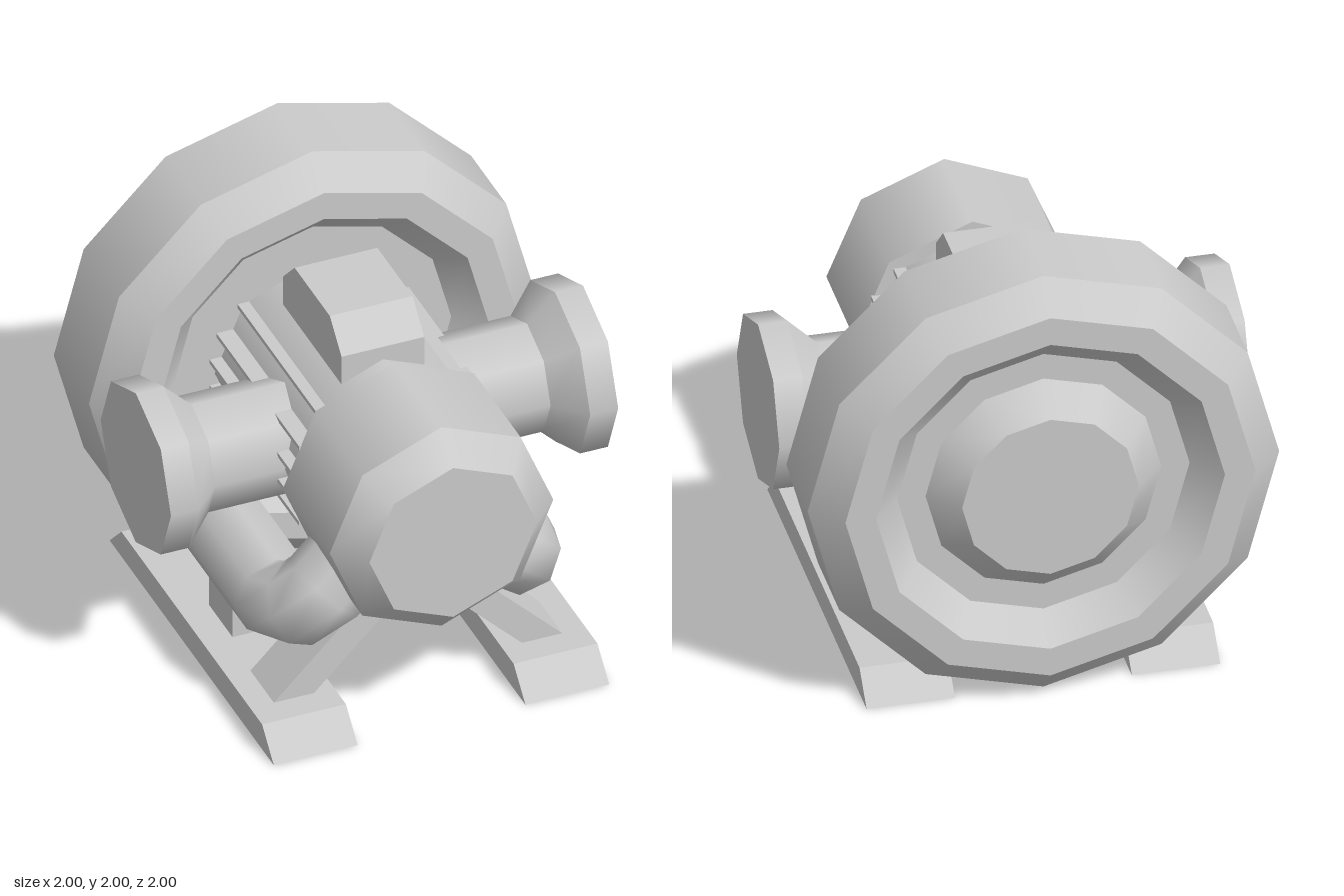
import * as THREE from 'three';
import { mergeGeometries } from 'three/addons/utils/BufferGeometryUtils.js';

const material = new THREE.MeshStandardMaterial({ color: 0xcccccc });

function add(parent, name, geometry, x = 0, y = 0, z = 0) {
  const mesh = new THREE.Mesh(geometry, material);
  mesh.name = name;
  mesh.position.set(x, y, z);
  parent.add(mesh);
  return mesh;
}

// Turned solid along z: smooth around the axis, sharp between profile steps.
function turned(profile, sides) {
  const bands = [];
  for (let i = 0; i < profile.length - 1; i++) {
    const pair = [profile[i], profile[i + 1]].map(([r, z]) => new THREE.Vector2(r, z));
    bands.push(new THREE.LatheGeometry(pair, sides));
  }
  return mergeGeometries(bands).rotateX(Math.PI / 2);
}

// Side outline given as [z, y] pairs, extruded across x and centred on x = 0.
function sidePlate(outline, width) {
  const shape = new THREE.Shape(outline.map(([z, y]) => new THREE.Vector2(-z, y)));
  return new THREE.ExtrudeGeometry(shape, { depth: width, bevelEnabled: false })
    .translate(0, 0, -width / 2)
    .rotateY(Math.PI / 2);
}

export function createModel() {
  const model = new THREE.Group();
  model.name = 'pump';

  // Large round casing with a dished face on both sides and a raised back hub
  add(model, 'casing', turned([
    [0, -1], [0.375, -1], [0.5, -0.875], [0.62, -0.875], [0.74, -1], [0.87, -1],
    [1, -0.875], [1, -0.5], [0.87, -0.375], [0.74, -0.375], [0.62, -0.5], [0, -0.5],
  ], 12), 0, 1);

  // Motor body and its front cap
  add(model, 'motorBody', turned([[0.4375, -0.55], [0.4375, 0.4]], 8), 0, 1);
  add(model, 'motorCap', turned([
    [0, 0.375], [0.5, 0.375], [0.5, 0.875], [0.375, 1], [0, 1],
  ], 8), 0, 1);

  // Thin horizontal cooling fins
  for (const [height, halfWidth] of [[0.31, 0.335], [0.19, 0.43], [0.065, 0.46]]) {
    for (const s of [-1, 1]) {
      add(model, 'coolingFin', new THREE.BoxGeometry(halfWidth * 2, 0.02, 0.9), 0, 1 + s * height, -0.07);
    }
  }

  // Box on top of the motor
  add(model, 'terminalBox', sidePlate([
    [0.25, 1.25], [0.25, 1.5], [0.125, 1.625], [-0.25, 1.625], [-0.375, 1.5], [-0.375, 1.25],
  ], 0.37));

  for (const side of [-1, 1]) {
    const label = side > 0 ? 'left' : 'right';

    // Side port with flared flange
    const port = add(model, label + 'Port', turned([
      [0.25, 0.2], [0.25, 0.75], [0.375, 0.875], [0.375, 1], [0, 1],
    ], 8), 0, 1);
    port.rotation.y = side * Math.PI / 2;

    // Pipe from the casing, bending inward to the motor cap;
    // local x points diagonally down and outward from the motor axis
    const pipe = new THREE.Group();
    pipe.name = label + 'Pipe';
    pipe.position.y = 1;
    pipe.rotation.z = side > 0 ? -Math.PI / 4 : -Math.PI * 3 / 4;
    add(pipe, 'pipeRun', turned([[0.185, -0.55], [0.185, 0.375]], 8), 0.75);
    add(pipe, 'pipeElbow',
      new THREE.TorusGeometry(0.19, 0.185, 8, 2, Math.PI / 2).rotateX(Math.PI / 2), 0.56, 0, 0.375);
    const inlet = add(pipe, 'pipeInlet', turned([[0.185, 0.3], [0.185, 0.56]], 8), 0, 0, 0.565);
    inlet.rotation.y = Math.PI / 2;
    model.add(pipe);

    // Base rail with sloped ends
    add(model, label + 'Rail', sidePlate([
      [0.875, 0], [0.75, 0.125], [-0.75, 0.125], [-0.875, 0],
    ], 0.375), side * 0.5625);

    // Short post under the pipe
    add(model, label + 'PipePost', new THREE.BoxGeometry(0.18, 0.3, 0.25), side * 0.53, 0.24, 0);

    // Diagonal leg from the rail up to the motor cap
    const leg = add(model, label + 'Leg', new THREE.BoxGeometry(0.13, 0.8, 0.25), side * 0.33, 0.36, 0.5);
    leg.geometry = sideLeg(side);
    leg.position.set(0, 0, 0.375);
  }

  return model;
}

// Slanted leg cross-section in the front plane, mirrored by side.
function sideLeg(side) {
  const corners = [[0.47, 0.12], [0.65, 0.12], [0.13, 0.64], [0, 0.64], [0, 0.59]];
  const shape = new THREE.Shape(corners.map(([x, y]) => new THREE.Vector2(side * x, y)));
  return new THREE.ExtrudeGeometry(shape, { depth: 0.25, bevelEnabled: false });
}
